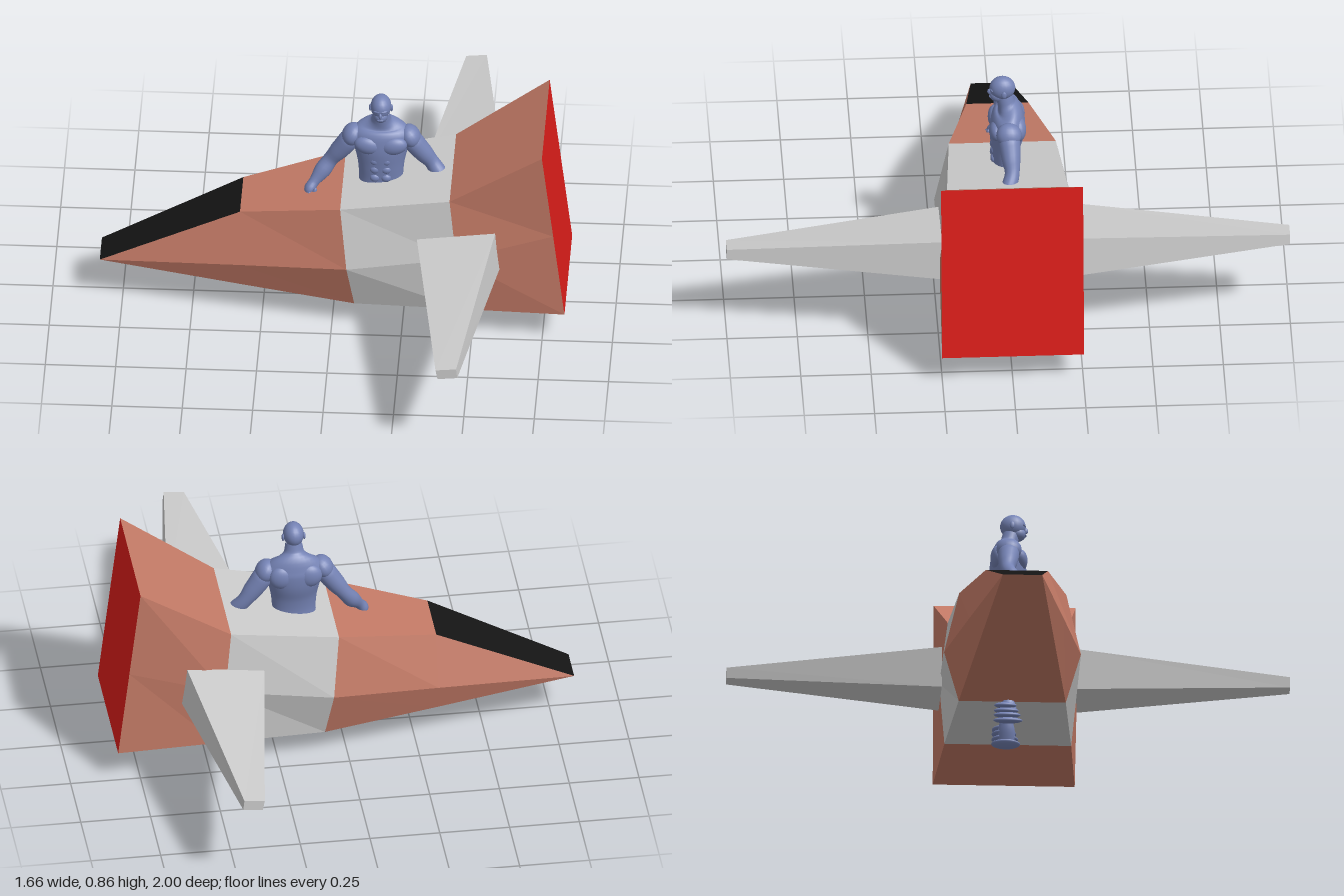
import * as THREE from 'three';

const mat = (color, flat = true) => new THREE.MeshStandardMaterial({ color, flatShading: flat });
const rust = mat(0xc37a66), grey = mat(0xcccccc), red = mat(0xdd1d1a), black = mat(0x141414);
const skin = mat(0x7583b5, false);

function addMesh(parent, name, geometry, material) {
  const mesh = new THREE.Mesh(geometry, material);
  mesh.name = name;
  parent.add(mesh);
  return mesh;
}

// Flat-sided geometry from a list of polygons (corners counter-clockwise)
function polygons(list) {
  const pos = [];
  for (const p of list)
    for (let i = 1; i < p.length - 1; i++) pos.push(...p[0], ...p[i], ...p[i + 1]);
  const g = new THREE.BufferGeometry();
  g.setAttribute('position', new THREE.Float32BufferAttribute(pos, 3));
  g.computeVertexNormals();
  return g;
}

// Quads joining two rings of equal length
const bridge = (a, b) => a.map((p, i) => {
  const j = (i + 1) % a.length;
  return [p, a[j], b[j], b[i]];
});

// Six-sided hull frame from [x, y, halfWidth] of deck, chine and keel
function frame(...levels) {
  const left = levels.map(([x, y, w]) => [x, y, w]);
  const right = levels.map(([x, y, w]) => [x, y, -w]).reverse();
  return [...left, ...right];
}

// Smooth limb through sections [x, y, z, sideRadius, depthRadius]
function limb(sections, steps = 24, sides = 20) {
  const path = new THREE.CatmullRomCurve3(sections.map(s => new THREE.Vector3(s[0], s[1], s[2])));
  const radii = new THREE.CatmullRomCurve3(sections.map(s => new THREE.Vector3(s[3], s[4], 0)));
  const pos = [], index = [], zAxis = new THREE.Vector3(0, 0, 1);
  for (let i = 0; i <= steps; i++) {
    const t = i / steps, c = path.getPoint(t), r = radii.getPoint(t), d = path.getTangent(t);
    const u = new THREE.Vector3().crossVectors(d, zAxis).normalize();
    const v = new THREE.Vector3().crossVectors(u, d);
    for (let k = 0; k < sides; k++) {
      const a = -k / sides * Math.PI * 2;
      const p = c.clone().addScaledVector(u, Math.cos(a) * r.x).addScaledVector(v, Math.sin(a) * r.y);
      pos.push(p.x, p.y, p.z);
      if (i < steps) {
        const n = (k + 1) % sides, o = i * sides;
        index.push(o + k, o + n, o + sides + n, o + k, o + sides + n, o + sides + k);
      }
    }
  }
  const g = new THREE.BufferGeometry();
  g.setAttribute('position', new THREE.Float32BufferAttribute(pos, 3));
  g.setIndex(index);
  g.computeVertexNormals();
  return g;
}

function buildHull(root) {
  const nose = frame([-0.83, 0.165, 0.07], [-0.83, 0.165, 0.07], [-0.83, 0.165, 0.07]);
  const screen = frame([-0.33, 0.415, 0.11], [-0.33, 0.226, 0.168], [-0.33, 0.124, 0.136]);
  const front = frame([0.03, 0.49, 0.19], [0.055, 0.27, 0.243], [0.08, 0.092, 0.19]);
  const back = frame([0.42, 0.555, 0.215], [0.445, 0.33, 0.245], [0.47, 0.105, 0.225]);
  const tail = frame([0.75, 0.775, 0.252], [0.79, 0.445, 0.252], [0.83, 0.113, 0.252]);

  const tip = bridge(nose, screen);
  const windscreen = tip.pop(); // the top panel of the nose
  addMesh(root, 'nose', polygons([...tip, ...bridge(screen, front)]), rust);
  addMesh(root, 'windscreen', polygons([windscreen]), black);
  addMesh(root, 'midsection', polygons(bridge(front, back)), grey);
  addMesh(root, 'tail', polygons(bridge(back, tail)), rust);
  addMesh(root, 'exhaustPanel', polygons([tail]), red);
}

function buildWings(root) {
  const rootXY = [[0.305, 0.407], [0.33, 0.263], [0.6, 0.295], [0.583, 0.442]];
  const tipXY = [[0.413, 0.362], [0.42, 0.325], [0.49, 0.332], [0.486, 0.369]];
  for (const s of [1, -1]) {
    const ring = (xy, z) => {
      const r = xy.map(([x, y]) => [x, y, z * s]);
      return s > 0 ? r : r.reverse();
    };
    const a = ring(rootXY, 0.24), b = ring(tipXY, 1);
    addMesh(root, s > 0 ? 'frontWing' : 'backWing',
      polygons([...bridge(a, b), b, [...a].reverse()]), grey);
  }
}

function buildPilot(root) {
  const pilot = new THREE.Group();
  pilot.name = 'pilot';
  pilot.position.x = 0.165;
  root.add(pilot);
  const blob = (name, x, y, z, rx, ry, rz, tilt = 0) => {
    const m = addMesh(pilot, name, new THREE.SphereGeometry(1, 20, 14), skin);
    m.position.set(x, y, z);
    m.scale.set(rx, ry, rz);
    m.rotation.z = tilt;
  };

  // Torso from hips to neck
  addMesh(pilot, 'torso', limb([
    [0, 0.37, -0.01, 0.03, 0.025], [0, 0.42, -0.01, 0.085, 0.055], [0, 0.51, -0.005, 0.078, 0.047],
    [0, 0.57, -0.005, 0.082, 0.052], [0, 0.63, -0.01, 0.095, 0.062], [0, 0.685, -0.015, 0.112, 0.06],
    [0, 0.722, -0.018, 0.085, 0.045], [0, 0.75, -0.008, 0.036, 0.032], [0, 0.785, 0.0, 0.029, 0.03],
  ], 36, 28), skin);

  // Head and face
  blob('skull', 0, 0.815, 0.006, 0.037, 0.044, 0.046);
  blob('jaw', 0, 0.786, 0.022, 0.026, 0.026, 0.03);
  blob('brow', 0, 0.815, 0.042, 0.025, 0.007, 0.01);
  blob('nose', 0, 0.8, 0.05, 0.006, 0.012, 0.01);
  blob('mouth', 0, 0.781, 0.048, 0.012, 0.004, 0.006);

  for (const s of [1, -1]) {
    const side = s > 0 ? 'left' : 'right';
    blob(side + 'Ear', s * 0.038, 0.806, 0.002, 0.005, 0.014, 0.009);
    blob(side + 'Chest', s * 0.045, 0.662, 0.03, 0.05, 0.035, 0.026, s * 0.2);
    blob(side + 'Shoulder', s * 0.103, 0.68, -0.012, 0.036, 0.044, 0.045, s * 0.5);
    blob(side + 'ShoulderBlade', s * 0.05, 0.67, -0.05, 0.045, 0.045, 0.026);
    for (let i = 0; i < 3; i++)
      blob(side + 'Abdominal', s * 0.02, 0.53 + i * 0.035, 0.038, 0.018, 0.016, 0.012);

    addMesh(pilot, side + 'Arm', limb([
      [s * 0.095, 0.7, -0.012, 0.02, 0.02], [s * 0.115, 0.655, -0.014, 0.037, 0.038],
      [s * 0.15, 0.605, -0.018, 0.034, 0.033], [s * 0.18, 0.565, -0.02, 0.027, 0.026],
      [s * 0.205, 0.53, -0.008, 0.03, 0.028], [s * 0.237, 0.49, 0.015, 0.019, 0.018],
      [s * 0.252, 0.468, 0.026, 0.02, 0.024], [s * 0.262, 0.445, 0.03, 0.008, 0.014],
    ]), skin);
    for (let i = 0; i < 4; i++)
      blob(side + 'Finger', s * (0.268 - i * 0.003), 0.447, 0.012 + i * 0.013, 0.008, 0.024, 0.007, s * 0.4);
    blob(side + 'Thumb', s * 0.235, 0.463, 0.045, 0.008, 0.02, 0.008, s * 0.3);

    // Leg with stacked toes at the foot
    addMesh(pilot, side + 'Leg', limb([
      [s * 0.04, 0.42, -0.01, 0.04, 0.045], [s * 0.05, 0.34, -0.008, 0.043, 0.047],
      [s * 0.06, 0.25, -0.005, 0.028, 0.03], [s * 0.068, 0.19, -0.015, 0.032, 0.034],
      [s * 0.077, 0.11, -0.014, 0.018, 0.02], [s * 0.088, 0.06, -0.014, 0.02, 0.03],
      [s * 0.098, 0.015, -0.014, 0.015, 0.03],
    ]), skin);
    for (let i = 0; i < 4; i++)
      blob(side + 'Toe', s * (0.1 + (i % 2) * 0.004), 0.012 + i * 0.019, -0.016 - i * 0.003,
        0.025, 0.011, 0.052 - i * 0.004, s * -0.3);
  }
}

export function createModel() {
  const root = new THREE.Group();
  root.name = 'craftWithPilot';
  buildHull(root);
  buildWings(root);
  buildPilot(root);
  return root;
}
